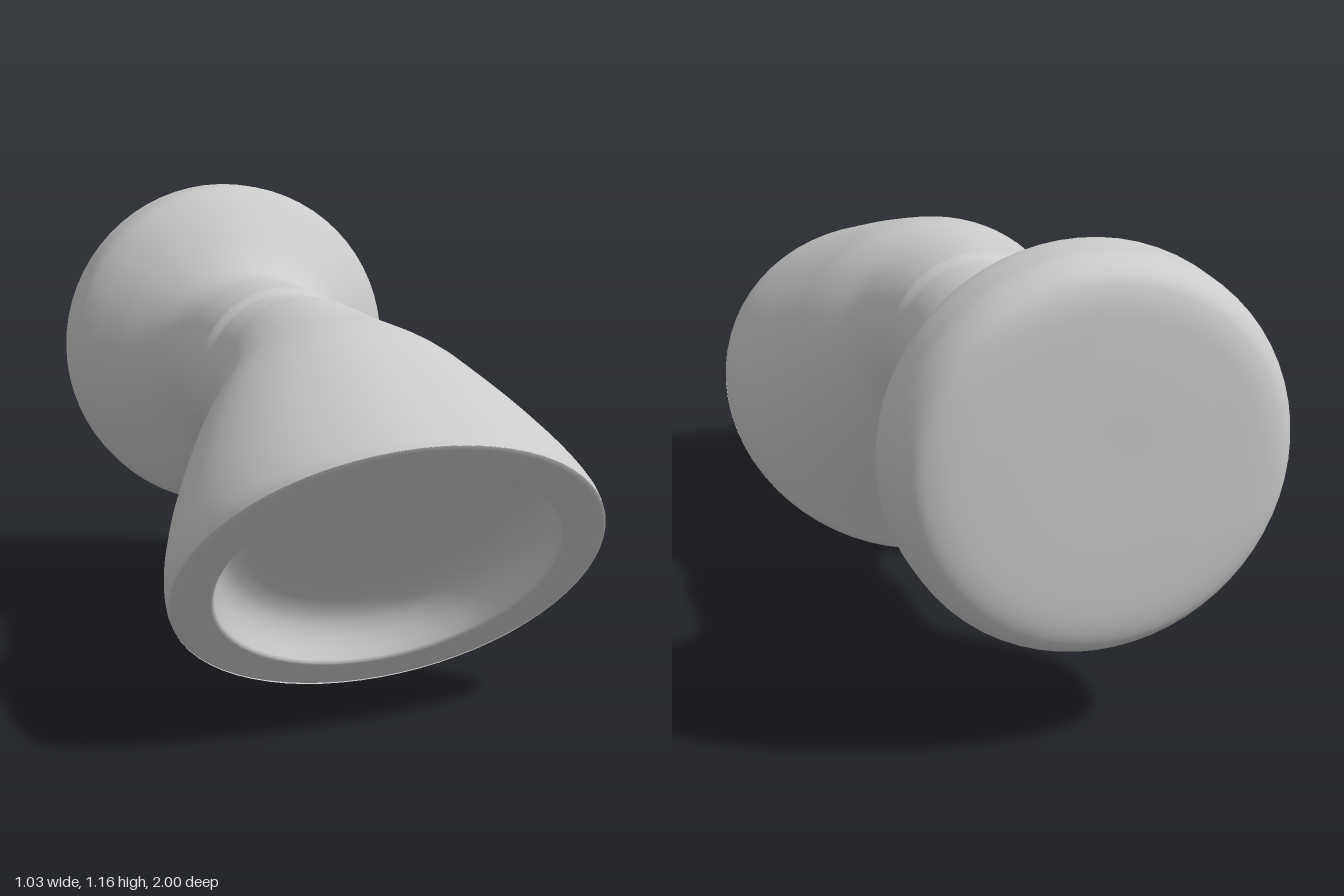
import * as THREE from 'three';

const SEGMENTS = 64;
const AXIS_Y = 0.703; // height of the mounting axis

// Smooth a list of [radius, position] pairs into lathe points
function smoothProfile(pairs, count) {
  const curve = new THREE.CatmullRomCurve3(pairs.map(([r, t]) => new THREE.Vector3(r, t, 0)), false, 'centripetal');
  return curve.getPoints(count).map((p) => new THREE.Vector2(Math.max(p.x, 0), p.y));
}

const toPoints = (pairs) => pairs.map(([r, t]) => new THREE.Vector2(r, t));

// Skin through rings, each given as [topZ, topY, bottomZ, bottomY, halfWidth]
function loft(sections, steps) {
  const tops = new THREE.CatmullRomCurve3(sections.map((s) => new THREE.Vector3(0, s[1], s[0])), false, 'centripetal');
  const bottoms = new THREE.CatmullRomCurve3(sections.map((s) => new THREE.Vector3(s[4], s[3], s[2])), false, 'centripetal');
  const positions = [];
  const indices = [];
  for (let i = 0; i <= steps; i++) {
    const top = tops.getPoint(i / steps);
    const bottom = bottoms.getPoint(i / steps);
    const midY = (top.y + bottom.y) / 2;
    const midZ = (top.z + bottom.z) / 2;
    for (let j = 0; j < SEGMENTS; j++) {
      const a = (j / SEGMENTS) * Math.PI * 2;
      positions.push(bottom.x * Math.sin(a), midY + (top.y - midY) * Math.cos(a), midZ + (top.z - midZ) * Math.cos(a));
      if (i < steps) {
        const k = (j + 1) % SEGMENTS;
        const p = i * SEGMENTS;
        const q = p + SEGMENTS;
        indices.push(p + j, q + j, p + k, q + j, q + k, p + k);
      }
    }
  }
  const geometry = new THREE.BufferGeometry();
  geometry.setAttribute('position', new THREE.Float32BufferAttribute(positions, 3));
  geometry.setIndex(indices);
  geometry.computeVertexNormals();
  return geometry;
}

export function createModel() {
  const group = new THREE.Group();
  const material = new THREE.MeshStandardMaterial({ color: 0xcccccc, side: THREE.DoubleSide });
  const add = (name, geometry) => {
    const mesh = new THREE.Mesh(geometry, material);
    mesh.name = name;
    group.add(mesh);
    return mesh;
  };

  // Wall flange flaring out of the neck, with a softly rounded back
  const flange = add('wallFlange', new THREE.LatheGeometry(smoothProfile([
    [0, -1], [0.25, -1], [0.38, -0.992], [0.425, -0.972], [0.455, -0.92], [0.46, -0.86], [0.457, -0.79],
    [0.435, -0.75], [0.36, -0.67], [0.29, -0.6], [0.25, -0.54], [0.234, -0.48], [0.231, -0.4], [0.231, -0.23],
  ], 90), SEGMENTS));

  // Narrow groove between the flange and the head
  const collar = add('neckGroove', new THREE.LatheGeometry(toPoints([
    [0.231, -0.23], [0.226, -0.218], [0.217, -0.207], [0.215, -0.195],
    [0.215, -0.085], [0.217, -0.07], [0.224, -0.055], [0.227, -0.045],
  ]), SEGMENTS));
  for (const mesh of [flange, collar]) {
    mesh.geometry.rotateX(Math.PI / 2);
    mesh.position.y = AXIS_Y;
  }

  // Bell-shaped head bending down from the neck to a slanted rim
  add('head', loft([
    [-0.045, 0.93, -0.045, 0.476, 0.227],
    [0, 0.93, 0, 0.464, 0.234],
    [0.2, 0.92, 0.04, 0.43, 0.272],
    [0.4, 0.908, 0.08, 0.365, 0.343],
    [0.55, 0.872, 0.125, 0.28, 0.402],
    [0.75, 0.815, 0.18, 0.177, 0.467],
    [0.9, 0.768, 0.232, 0.072, 0.507],
    [0.98, 0.743, 0.26, 0.012, 0.515],
    [1, 0.729, 0.277, 0.002, 0.512],
  ], 60));

  // Flat lip and shallow recessed face across the opening
  const face = add('recessedFace', new THREE.LatheGeometry(toPoints([
    [0.513, -0.002], [0.506, 0.002], [0.5, 0.002], [0.418, 0.002], [0.412, 0], [0.408, -0.006], [0.402, -0.03],
    [0.39, -0.06], [0.372, -0.088], [0.345, -0.108], [0.31, -0.118], [0.26, -0.12], [0, -0.12],
  ]), SEGMENTS));
  face.rotation.x = Math.PI * 0.75;
  face.position.set(0, 0.3655, 0.6385);

  return group;
}
